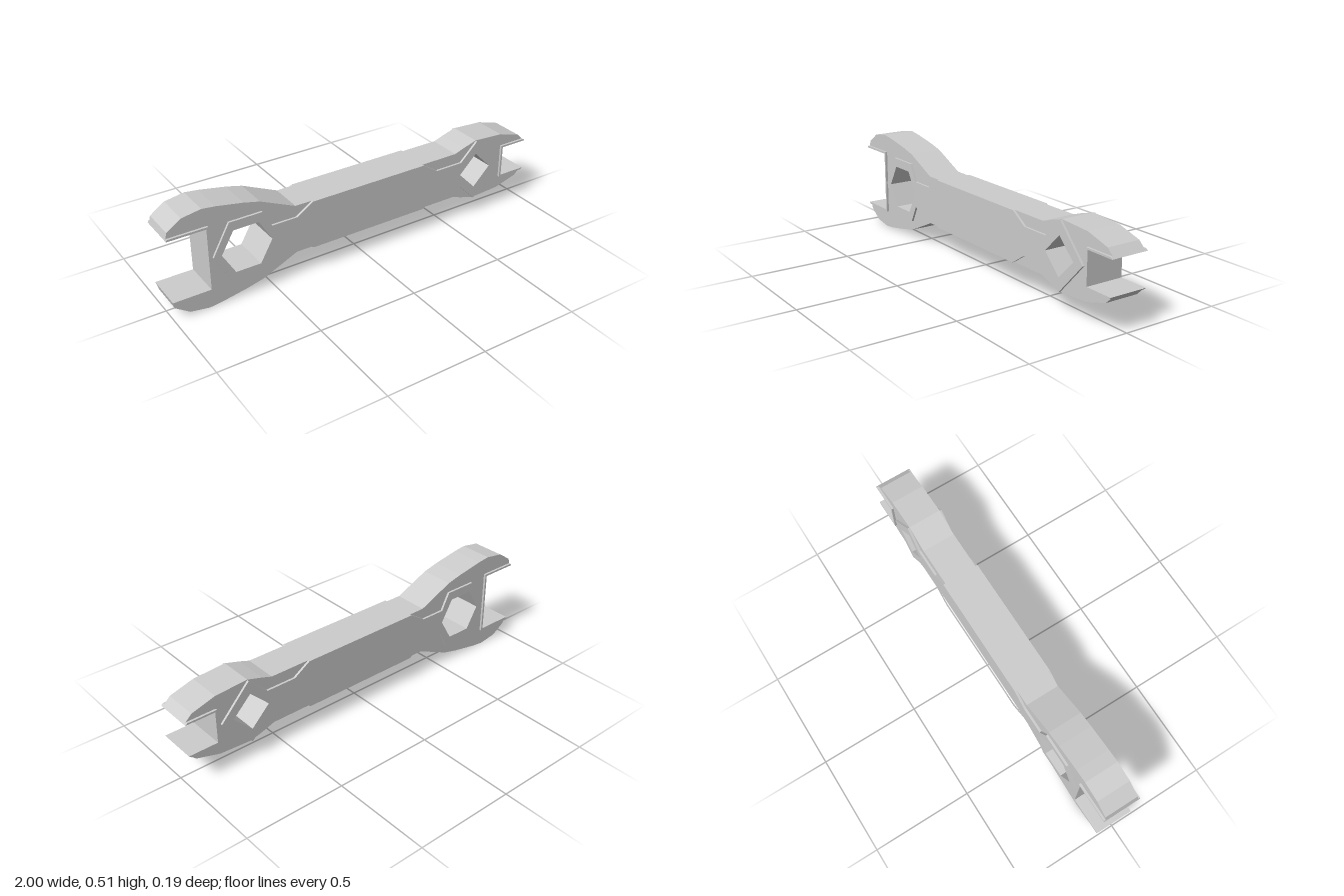
import * as THREE from 'three';

const MID = 0.257;      // height of the wrench's long axis
const CORE = 0.085;     // half thickness of the body
const FACE = 0.096;     // half thickness at the raised faces

// Mirrors an upper half outline (x, y) about the long axis into a closed loop.
function mirrored(half) {
  const lower = half.filter(([, y]) => y !== MID).map(([x, y]) => [x, 2 * MID - y]).reverse();
  return [...half, ...lower].map(([x, y]) => new THREE.Vector2(x, y));
}

function ring(x, radius, sides) {
  return Array.from({ length: sides }, (_, i) => {
    const a = (i / sides) * Math.PI * 2;
    return new THREE.Vector2(x + radius * Math.cos(a), MID + radius * Math.sin(a));
  });
}

export function createModel() {
  const group = new THREE.Group();
  const material = new THREE.MeshStandardMaterial({ color: 0xcccccc });

  function slab(name, outline, holes, z0, z1) {
    const shape = new THREE.Shape(outline);
    shape.holes = holes.map((h) => new THREE.Path(h));
    const geometry = new THREE.ExtrudeGeometry(shape, { depth: z1 - z0, bevelEnabled: false });
    geometry.translate(0, 0, z0);
    const mesh = new THREE.Mesh(geometry, material);
    mesh.name = name;
    group.add(mesh);
  }

  // The same raised layer on the front and the back
  function raised(name, outline, holes) {
    slab(name + 'Front', outline, holes, CORE, FACE);
    slab(name + 'Back', outline, holes, -FACE, -CORE);
  }

  const hexHole = ring(-0.627, 0.126, 6);
  const squareHole = ring(0.672, 0.094, 4);

  // Body with a large and a small open jaw
  const body = mirrored([
    [-0.815, MID], [-0.815, 0.413], [-1, 0.413], [-0.99, 0.45], [-0.92, 0.498],
    [-0.825, 0.513], [-0.76, 0.505], [-0.627, 0.48], [-0.547, 0.46], [-0.37, 0.38],
    [0.547, 0.38], [0.6, 0.398], [0.675, 0.42], [0.84, 0.41], [0.96, 0.375],
    [1, 0.337], [0.853, 0.337], [0.853, MID],
  ]);
  slab('body', body, [hexHole, squareHole], -CORE, CORE);

  // Raised handle plate joining the hexagon and diamond surrounds, with a sunk panel
  const plate = mirrored([
    [-0.793, MID], [-0.708, 0.411], [-0.542, 0.411], [-0.498, 0.325], [-0.37, 0.325],
    [-0.285, 0.38], [0.345, 0.38], [0.43, 0.325], [0.58, 0.325], [0.675, 0.418], [0.825, MID],
  ]);
  const panel = mirrored([
    [-0.37, 0.298], [-0.285, 0.34], [0.33, 0.34], [0.417, 0.298],
  ]);
  raised('handlePlate', plate, [hexHole, squareHole, panel]);

  // Thin raised rims lining the jaws
  raised('largeJawRim', mirrored([
    [-0.815, MID], [-0.815, 0.413], [-1, 0.413], [-0.997, 0.423], [-0.805, 0.423], [-0.805, MID],
  ]), []);
  raised('smallJawRim', mirrored([
    [0.843, MID], [0.843, 0.346], [0.99, 0.346], [1, 0.337], [0.853, 0.337], [0.853, MID],
  ]), []);

  return group;
}
